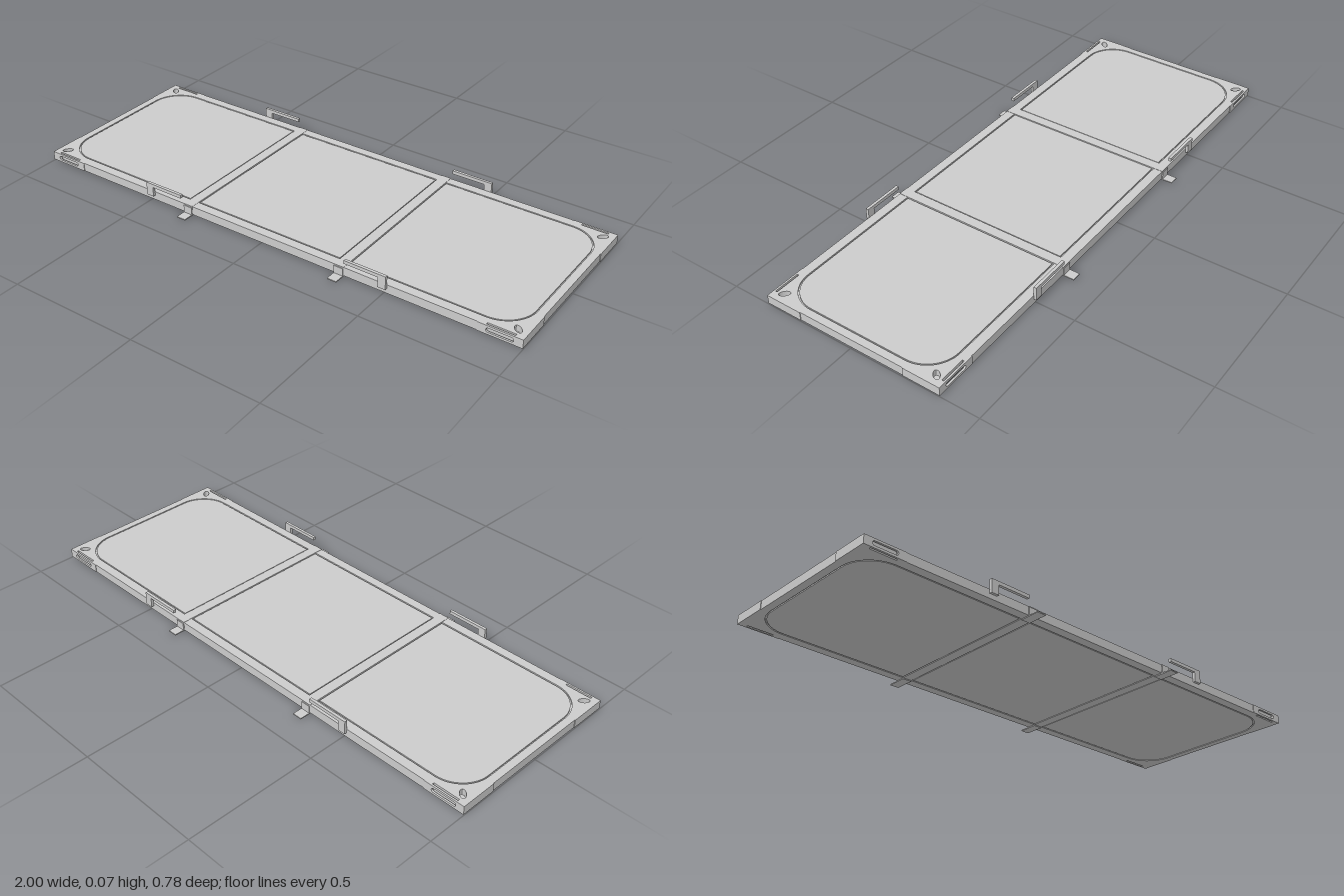
import * as THREE from 'three';

const TOP = 0.038, BASE = 0.004;
const mat = new THREE.MeshStandardMaterial({ color: 0xcccccc, flatShading: true });

function add(parent, name, geo) {
  const mesh = new THREE.Mesh(geo, mat);
  mesh.name = name;
  parent.add(mesh);
  return mesh;
}

// box given by its lower and upper limits on each axis
function block(parent, name, x0, x1, y0, y1, z0, z1) {
  const geo = new THREE.BoxGeometry(x1 - x0, y1 - y0, z1 - z0);
  return add(parent, name, geo.translate((x0 + x1) / 2, (y0 + y1) / 2, (z0 + z1) / 2));
}

// plan outline raised from y0 to y1
function slab(parent, name, shape, y0, y1) {
  const geo = new THREE.ExtrudeGeometry(shape, { depth: y1 - y0, bevelEnabled: false, curveSegments: 10 });
  return add(parent, name, geo.rotateX(-Math.PI / 2).translate(0, y0, 0));
}

// rectangle whose left and right corners have separate radii
function roundRect(Type, x0, x1, h, rl, rr) {
  const s = new Type(), P = Math.PI;
  s.moveTo(x0 + rl, -h);
  s.lineTo(x1 - rr, -h);
  if (rr) s.absarc(x1 - rr, -h + rr, rr, -P / 2, 0);
  s.lineTo(x1, h - rr);
  if (rr) s.absarc(x1 - rr, h - rr, rr, 0, P / 2);
  s.lineTo(x0 + rl, h);
  if (rl) s.absarc(x0 + rl, h - rl, rl, P / 2, P);
  s.lineTo(x0, -h + rl);
  if (rl) s.absarc(x0 + rl, -h + rl, rl, P, P * 1.5);
  s.closePath();
  return s;
}

// outer frame outline, one quarter mirrored four ways
function frameShape() {
  const q = [[0.998, 0.21], [1, 0.21], [1, 0.345], [0.97, 0.345], [0.97, 0.338],
    [0.87, 0.338], [0.87, 0.345], [0.84, 0.345], [0.84, 0.35]];
  const r = [...q].reverse();
  const pts = [
    ...q, ...r.map(([x, z]) => [-x, z]),
    ...q.map(([x, z]) => [-x, -z]), ...r.map(([x, z]) => [x, -z]),
  ].map(([x, z]) => new THREE.Vector2(x, z));
  const s = new THREE.Shape(pts);
  s.holes.push(roundRect(THREE.Path, -0.97, 0.97, 0.315, 0.12, 0.12));
  return s;
}

export function createModel() {
  const model = new THREE.Group();
  model.name = 'flatPlatform';

  // frame: closed lower layer, upper layer with oval lock holes in the corners
  slab(model, 'frameLower', frameShape(), BASE, 0.014);
  const upper = frameShape();
  for (const sx of [-1, 1]) for (const sz of [-1, 1]) {
    const hole = new THREE.Path();
    hole.absellipse(sx * 0.962, sz * 0.312, 0.02, 0.011, 0, Math.PI * 2, true, sx * sz * Math.PI / 4);
    upper.holes.push(hole);
  }
  slab(model, 'frameUpper', upper, 0.014, TOP - 0.001);

  // core closes the bottom of the grooves around the deck panels
  slab(model, 'core', roundRect(THREE.Shape, -0.97, 0.97, 0.315, 0.12, 0.12), 0.009, 0.032);

  // three deck panels
  const y0 = BASE + 0.0005, y1 = TOP - 0.0015;
  slab(model, 'middlePanel', roundRect(THREE.Shape, -0.302, 0.302, 0.31, 0, 0), y0, y1);
  slab(model, 'leftPanel', roundRect(THREE.Shape, 0.348, 0.965, 0.31, 0, 0.115), y0, y1);
  slab(model, 'rightPanel', roundRect(THREE.Shape, -0.965, -0.348, 0.31, 0.115, 0), y0, y1);

  for (const sx of [-1, 1]) {
    // cross strip between panels
    const a = sx * 0.325;
    block(model, 'crossStrip', a - 0.019, a + 0.019, BASE, TOP, -0.351, 0.351);

    for (const sz of [-1, 1]) {
      // corner plate with a long slot in its side face
      const cx = 0.92, ph = (TOP - 0.001 - BASE) / 2, hl = 0.04, hr = 0.008;
      const plate = new THREE.Shape();
      plate.moveTo(0.84, -ph).lineTo(1, -ph).lineTo(1, ph).lineTo(0.84, ph).closePath();
      const slot = new THREE.Path();
      slot.absarc(cx + hl, 0, hr, -Math.PI / 2, Math.PI / 2);
      slot.absarc(cx - hl, 0, hr, Math.PI / 2, Math.PI * 1.5);
      slot.closePath();
      plate.holes.push(slot);
      const corner = new THREE.Group();
      corner.name = 'cornerPlate';
      const face = add(corner, 'slottedFace',
        new THREE.ExtrudeGeometry(plate, { depth: 0.007, bevelEnabled: false, curveSegments: 8 }));
      face.position.set(0, BASE + ph, 0.345);
      corner.scale.set(sx, 1, sz);
      model.add(corner);

      // foot bracket: tab under the edge and upright on the side
      const bracket = new THREE.Group();
      bracket.name = 'footBracket';
      block(bracket, 'tab', 0.307, 0.343, 0, BASE, 0.315, 0.392);
      block(bracket, 'upright', 0.307, 0.343, 0.002, 0.033, 0.35, 0.354);
      bracket.scale.set(sx, 1, sz);
      model.add(bracket);

      // L-shaped handle standing above the rail, bar pointing inwards
      const ell = new THREE.Shape();
      ell.moveTo(0.482, 0.022).lineTo(0.512, 0.022).lineTo(0.512, 0.073)
        .lineTo(0.35, 0.073).lineTo(0.35, 0.06).lineTo(0.482, 0.06).closePath();
      const handle = new THREE.Group();
      handle.name = 'handle';
      add(handle, 'handleBar', new THREE.ExtrudeGeometry(ell, { depth: 0.011, bevelEnabled: false }))
        .position.z = 0.349;
      handle.scale.set(sx, 1, sz);
      model.add(handle);
    }
  }
  return model;
}
